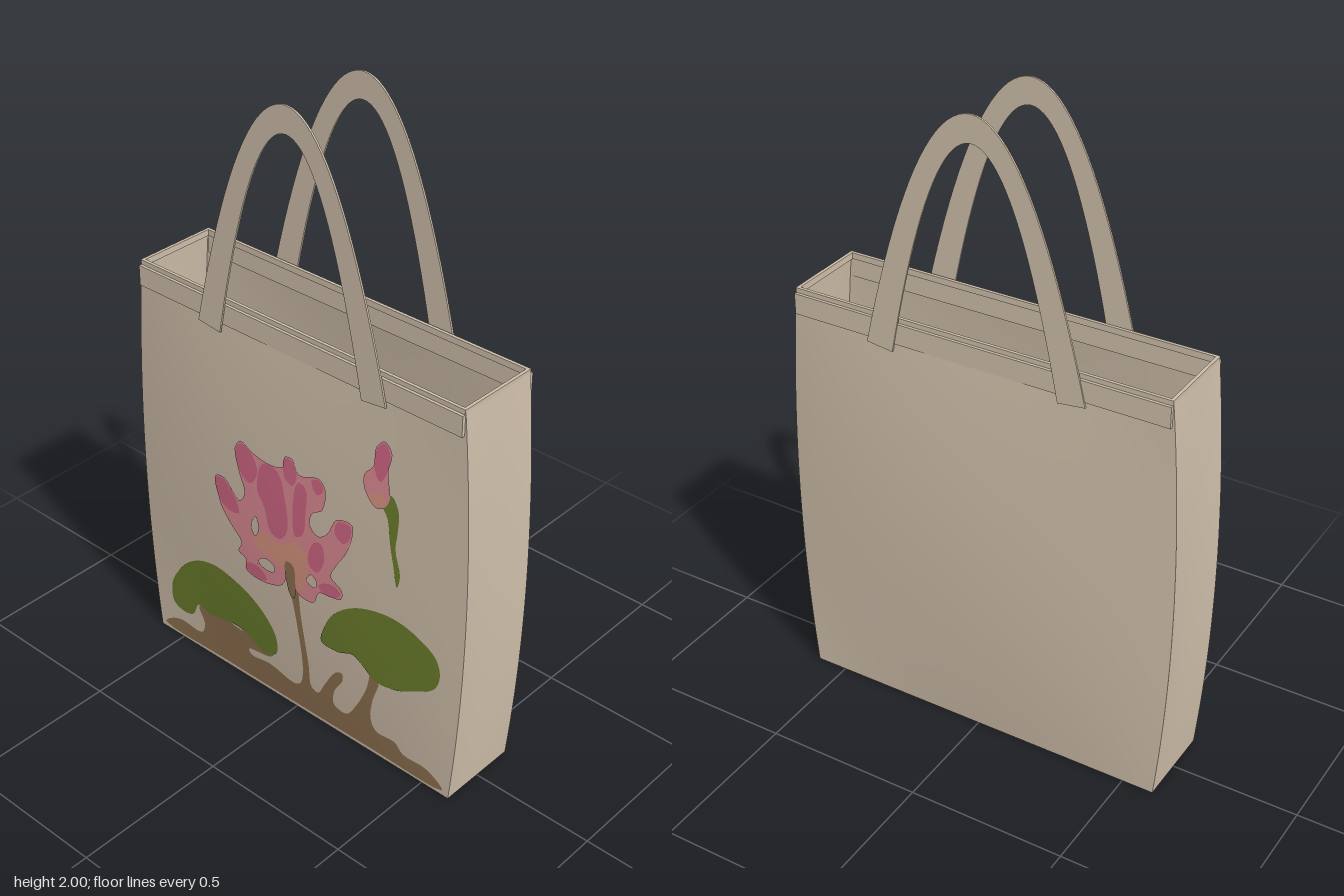
import * as THREE from 'three';

const H = 1.34, D = 0.135;
const mat = (name, color, side = THREE.FrontSide) => {
  const m = new THREE.MeshStandardMaterial({ color, side });
  m.name = name;
  return m;
};

// Bulge of the stuffed bag: zero at the bottom and rim, one at mid height
const bulge = (y) => Math.max(0, 4 * (y / H) * (1 - y / H));
const halfWidth = (y) => 0.6 + 0.035 * bulge(y);
const frontZ = (x, y) => D + 0.038 * bulge(y) * Math.max(0, 1 - (x / halfWidth(y)) ** 2);

// Curved wall: a plane whose vertices are moved by a rule of (u in -1..1, y)
function wall(name, material, rule, angle) {
  const geo = new THREE.PlaneGeometry(2, H, 32, 32);
  const p = geo.attributes.position;
  for (let i = 0; i < p.count; i++) {
    const y = p.getY(i) + H / 2;
    p.setXYZ(i, ...rule(p.getX(i), y));
  }
  geo.computeVertexNormals();
  const mesh = new THREE.Mesh(geo, material);
  mesh.name = name;
  mesh.rotation.y = angle;
  return mesh;
}

// Smooth closed outline from a flat list of hundredths
function outline(list, Type = THREE.Shape) {
  const pts = [];
  for (let i = 0; i < list.length; i += 2) pts.push(new THREE.Vector3(list[i] / 100, list[i + 1] / 100, 0));
  const curve = new THREE.CatmullRomCurve3(pts, true);
  return new Type(curve.getPoints(pts.length * 4).slice(0, -1).map((v) => new THREE.Vector2(v.x, v.y)));
}

// Painted patch: a flat shape, subdivided and laid on the curved front
function patch(name, material, layer, list, holes = []) {
  const shape = outline(list);
  holes.forEach((h) => shape.holes.push(outline(h, THREE.Path)));
  const flat = new THREE.ShapeGeometry(shape).toNonIndexed().attributes.position;
  const out = [];
  const split = (a, b, c) => {
    const ab = a.distanceTo(b), bc = b.distanceTo(c), ca = c.distanceTo(a);
    const m = Math.max(ab, bc, ca);
    if (m < 0.06) {
      for (const v of [a, b, c]) out.push(v.x, v.y, frontZ(v.x, v.y) + 0.0015 + layer * 0.001);
    } else if (m === ab) {
      const k = a.clone().lerp(b, 0.5);
      split(a, k, c); split(k, b, c);
    } else if (m === bc) {
      const k = b.clone().lerp(c, 0.5);
      split(a, b, k); split(a, k, c);
    } else {
      const k = c.clone().lerp(a, 0.5);
      split(a, b, k); split(k, b, c);
    }
  };
  const at = (i) => new THREE.Vector2(flat.getX(i), flat.getY(i));
  for (let i = 0; i < flat.count; i += 3) split(at(i), at(i + 1), at(i + 2));
  const geo = new THREE.BufferGeometry();
  geo.setAttribute('position', new THREE.Float32BufferAttribute(out, 3));
  geo.computeVertexNormals();
  const mesh = new THREE.Mesh(geo, material);
  mesh.name = name;
  return mesh;
}

// Flat strap between two parabolas
function handleGeometry() {
  const pts = [], n = 40;
  for (let i = 0; i <= n; i++) {
    const x = 0.35 * (1 - (2 * i) / n);
    pts.push(new THREE.Vector2(x, 2 - 6.16 * x * x));
  }
  for (let i = 0; i <= n; i++) {
    const x = -0.265 * (1 - (2 * i) / n);
    pts.push(new THREE.Vector2(x, 1.92 - 9.75 * x * x));
  }
  return new THREE.ExtrudeGeometry(new THREE.Shape(pts), { depth: 0.006, bevelEnabled: false });
}

export function createModel() {
  const model = new THREE.Group();
  model.name = 'toteBag';
  const canvas = mat('canvas', 0xcdbda8, THREE.DoubleSide);
  const green = mat('leaf green', 0x6b7d2b);
  const brown = mat('earth brown', 0x8f7150);
  const pink = mat('petal pink', 0xdc8a93);
  const rose = mat('deep rose', 0xcf6683);
  const peach = mat('peach', 0xd8957f);
  const add = (name, geo, x = 0, y = 0, z = 0) => {
    const mesh = new THREE.Mesh(geo, canvas);
    mesh.name = name;
    mesh.position.set(x, y, z);
    model.add(mesh);
  };

  // Bag walls and floor
  const broad = (u, y) => [u * halfWidth(y), y, frontZ(u * halfWidth(y), y)];
  const narrow = (u, y) => [u * D, y, halfWidth(y) - 0.01 * bulge(y) * (1 - u * u)];
  model.add(wall('frontPanel', canvas, broad, 0), wall('backPanel', canvas, broad, Math.PI));
  model.add(wall('leftGusset', canvas, narrow, Math.PI / 2), wall('rightGusset', canvas, narrow, -Math.PI / 2));
  add('floor', new THREE.BoxGeometry(1.2, 0.008, 2 * D), 0, 0.004, 0);

  // Folded rim and hem bands
  for (const s of [1, -1]) {
    add('hem', new THREE.BoxGeometry(1.2, 0.065, 0.014), 0, 1.2925, s * 0.139);
    add('rim', new THREE.BoxGeometry(1.2, 0.02, 0.01), 0, 1.33, s * 0.132);
    add('sideRim', new THREE.BoxGeometry(0.01, 0.02, 2 * D), s * 0.596, 1.33, 0);
  }

  // Handles
  const strap = handleGeometry();
  add('frontHandle', strap, 0, 0, 0.149);
  add('backHandle', strap, 0, 0, -0.15);

  // Painted earth and stems
  model.add(patch('earthAndStems', brown, 0, [
    -58, 2, -55, 5, -50, 7, -41, 7, -39, 12, -41, 18, -31, 20, -22, 19, -16, 20, -8, 17, -10, 15, -19, 13, -18, 11,
    -10, 12, 0, 10, 3, 12, 4.5, 20, 3, 38, 0, 58, 3, 58.5, 5, 40, 7, 22, 7.5, 13, 10, 12, 13, 17, 18, 25, 20.5, 26,
    20.5, 23, 17, 17, 16.5, 11, 21, 10, 26, 17, 30, 26, 32, 33, 34.5, 31, 32, 22, 31, 14, 33, 10, 40, 10, 43, 7, 52, 6.5,
    58, 2, 30, 1.5, 0, 1.5, -30, 1.5]));

  // Painted leaves
  model.add(patch('rightLeaf', green, 1, [
    -53, 13, -53.5, 20, -50, 27, -45, 33, -38.5, 37.5, -31, 39.5, -23, 38.5, -15, 35.5, -9, 30.5, -6, 25,
    -6.5, 18.5, -12, 15.5, -17.5, 18.5, -23, 20, -31, 18.5, -36, 17.5, -41, 18.5, -44, 13, -48, 11.5]));
  model.add(patch('leftLeaf', green, 1, [
    13, 34.5, 14.5, 41, 18, 47.5, 25, 53.5, 33, 56.5, 41, 57, 48.5, 54.5, 54.5, 50, 56, 44, 54, 38.5,
    48.5, 35, 42, 31.5, 38, 30.5, 33, 30.5, 28.5, 34, 25, 36, 19.5, 34]));

  // Painted flower: pale petals with gaps, then peach base and rose accents
  model.add(patch('petals', pink, 2, [
    -29, 74.5, -25, 75.5, -19, 70.5, -16.5, 74.5, -18.5, 80, -20.5, 88, -18, 91.5, -14, 90, -9.5, 89, -5, 89, -1, 90.5,
    -0.5, 94, 2.5, 94.5, 5, 90.5, 12.5, 92.5, 15, 90, 14, 82.5, 10.5, 80, 9.5, 75.5, 12.5, 73, 16, 75.5, 19.5, 82,
    25, 82.5, 25, 78, 23, 72, 19.5, 66, 17.5, 61, 21.5, 58, 21, 54.5, 13, 53, 10.5, 48, 5, 48, 1, 53.5, -2, 48,
    -10.5, 45, -17, 46, -17, 50, -20, 51.5, -18.5, 55.5, -23, 60, -27, 65, -28.5, 70.5], [
    [-11, 53, -8, 54.5, -5, 53.5, -5, 51.5, -8, 50.5, -11, 51.5],
    [8, 55, 10, 58, 12, 56, 11, 53.8],
    [-14, 64, -12, 68, -11, 64, -12.5, 61]]));
  const accents = [
    [-9, 88, -3, 88, 0, 80, 1, 70, -2, 65, -6, 66, -8, 73, -11, 78],
    [-29, 74, -25, 75, -20, 70, -19, 66, -23, 65, -27, 67],
    [-20, 88, -17.5, 91, -13, 89, -11, 84, -14, 79, -18, 81],
    [-0.5, 93.5, 2.5, 94, 4.5, 90, 3, 86, 0, 87],
    [10, 91, 13, 92, 14.5, 89.5, 12, 87],
    [20, 81.5, 24.5, 82, 24.5, 78, 22, 75, 19, 77],
    [5, 88, 8, 87, 8, 79, 7, 71, 4, 69, 3, 77],
    [11, 70, 14, 71, 15, 65, 12, 60, 9, 62],
    [-16.5, 49, -11, 50, -8, 47, -11, 45.5, -16.5, 46.5],
    [13, 56, 18, 58.5, 21, 57, 20, 54.8, 14, 53.8]];
  accents.forEach((a) => model.add(patch('petalAccent', rose, 4, a)));
  model.add(patch('flowerBase', peach, 3, [
    -13, 58, -9, 64, -2, 63, 4, 67, 9, 63, 8, 56, 6, 50, 3, 53, 0, 54, -3, 55, -7, 56]));
  model.add(patch('flowerStemTop', brown, 5, [0, 58, 3, 58, 3.8, 52, 3.2, 46, 1.8, 46]));

  // Painted bud and its stem
  model.add(patch('budStem', green, 1, [
    34.5, 95, 38, 98, 40.5, 94, 40.5, 87, 40, 81, 41.8, 73, 40.8, 68.5, 39.5, 75, 38, 83, 37, 90]));
  model.add(patch('bud', pink, 2, [
    29, 96, 28.5, 101, 31.5, 105, 32, 111, 35, 114, 37.5, 111, 36.5, 105, 37.5, 97, 36, 93.5, 33, 92]));
  model.add(patch('budTip', rose, 3, [32, 104, 32.5, 111, 35, 113.5, 37, 110.5, 36, 104, 34, 101]));
  model.add(patch('budBase', peach, 3, [30.5, 95, 33, 97, 36.5, 96, 35.5, 93.8, 33, 92.5]));
  return model;
}
